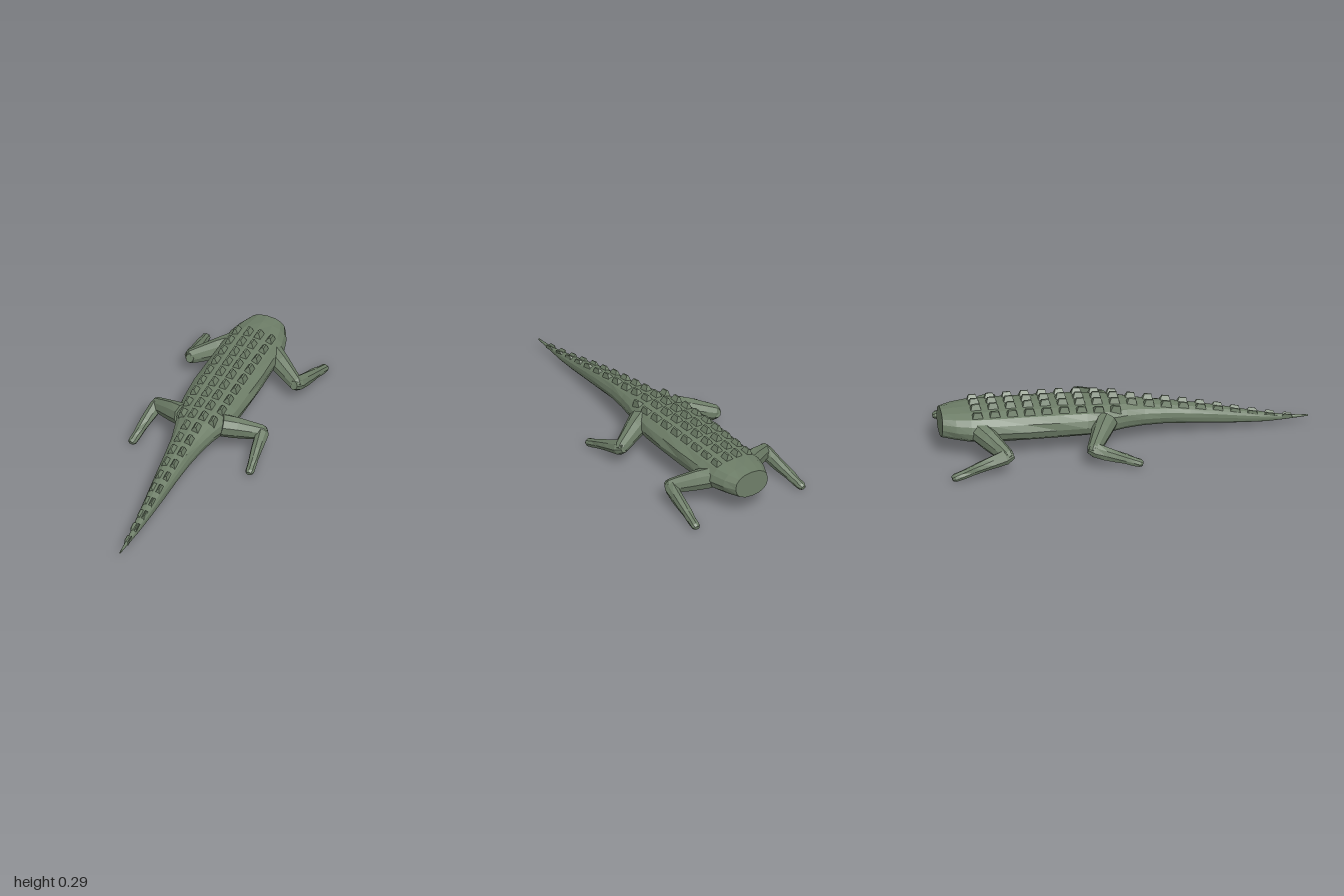
import * as THREE from 'three';

const skin = new THREE.MeshStandardMaterial({ color: 0x6d7d67, flatShading: true });
skin.name = 'scaly green skin';

// Small repeatable wobble in -1..1 for a rough hide
const wobble = (i, j) => {
  const s = Math.sin(i * 12.99 + j * 78.23) * 43758.55;
  return (s - Math.floor(s)) * 2 - 1;
};
const signedPow = (v, p) => Math.sign(v) * Math.abs(v) ** p;

// Closed skin over oval sections [x, y, z, halfWidth, halfHeight]
function loft(name, sections, sides, { rough = 0, power = 1 } = {}) {
  const centres = sections.map(s => new THREE.Vector3(s[0], s[1], s[2]));
  const up = new THREE.Vector3(0, 1, 0);
  const pos = [], index = [], last = sections.length - 1;
  sections.forEach(([, , , w, h], i) => {
    const t = centres[Math.min(i + 1, last)].clone().sub(centres[Math.max(i - 1, 0)]).normalize();
    const u = up.clone().cross(t).normalize();
    const v = t.clone().cross(u);
    for (let j = 0; j < sides; j++) {
      const a = (j / sides) * Math.PI * 2;
      const k = 1 + (i > 0 && i < last ? rough * wobble(i, j) : 0);
      const p = centres[i].clone()
        .addScaledVector(u, w * k * signedPow(Math.cos(a), power))
        .addScaledVector(v, h * k * signedPow(Math.sin(a), power));
      pos.push(p.x, p.y, p.z);
    }
  });
  for (let i = 0; i < last; i++) for (let j = 0; j < sides; j++) {
    const n = (j + 1) % sides;
    const a = i * sides + j, b = i * sides + n, c = b + sides, d = a + sides;
    index.push(a, b, c, a, c, d);
  }
  // End caps
  const start = pos.length / 3, end = start + 1;
  pos.push(...centres[0].toArray(), ...centres[last].toArray());
  for (let j = 0; j < sides; j++) {
    const n = (j + 1) % sides;
    index.push(start, n, j, end, last * sides + j, last * sides + n);
  }
  const geo = new THREE.BufferGeometry();
  geo.setAttribute('position', new THREE.Float32BufferAttribute(pos, 3));
  geo.setIndex(index);
  geo.computeVertexNormals();
  const mesh = new THREE.Mesh(geo, skin);
  mesh.name = name;
  return mesh;
}

// Body outline from neck to tail tip: z, half width, bottom y, top y
const outline = [
  [-1, 0.105, 0.112, 0.257], [-0.93, 0.138, 0.1, 0.262], [-0.85, 0.162, 0.09, 0.265],
  [-0.72, 0.17, 0.082, 0.265], [-0.55, 0.172, 0.078, 0.265], [-0.38, 0.172, 0.077, 0.261],
  [-0.22, 0.166, 0.076, 0.254], [-0.1, 0.146, 0.08, 0.246], [0, 0.115, 0.084, 0.236],
  [0.1, 0.09, 0.085, 0.22], [0.22, 0.072, 0.08, 0.202], [0.35, 0.061, 0.07, 0.179],
  [0.5, 0.047, 0.054, 0.149], [0.65, 0.033, 0.041, 0.113], [0.78, 0.021, 0.035, 0.083],
  [0.88, 0.011, 0.038, 0.063], [1, 0.003, 0.045, 0.055],
];
const POWER = 0.88;

function sectionAt(z) {
  let i = 0;
  while (i < outline.length - 2 && outline[i + 1][0] < z) i++;
  const a = outline[i], b = outline[i + 1], t = (z - a[0]) / (b[0] - a[0]);
  return a.map((v, k) => v + (b[k] - v) * t);
}
function backHeight(x, z) {
  const [, w, lo, hi] = sectionAt(z);
  const q = Math.min(Math.abs(x / w), 1);
  return (lo + hi) / 2 + (hi - lo) / 2 * (1 - q ** (2 / POWER)) ** (POWER / 2);
}

// Ridged back plate: a box pinched toward the top
const plateGeometry = new THREE.BoxGeometry(1, 1, 1);
{
  const p = plateGeometry.attributes.position;
  for (let i = 0; i < p.count; i++) {
    if (p.getY(i) > 0) p.setXYZ(i, p.getX(i) * 0.2, p.getY(i), p.getZ(i) * 0.6);
  }
}
function plate(x, z, width, height, length) {
  const y = backHeight(x, z), e = 0.01;
  const slopeX = (backHeight(x + e, z) - backHeight(x - e, z)) / (2 * e);
  const slopeZ = (backHeight(x, z + e) - backHeight(x, z - e)) / (2 * e);
  const mesh = new THREE.Mesh(plateGeometry, skin);
  mesh.name = 'backPlate';
  mesh.scale.set(width, height, length);
  mesh.position.set(x, y + height * 0.15, z);
  mesh.rotation.set(-Math.atan(slopeZ), 0, Math.atan(slopeX) * 0.6);
  return mesh;
}

// Bent leg: thick upper limb, thinner rough lower limb ending in a blunt foot
function leg(name, side, hip, knee, foot) {
  const group = new THREE.Group();
  group.name = name;
  const between = (a, b, t, w, h) => [
    side * (a[0] + (b[0] - a[0]) * t), a[1] + (b[1] - a[1]) * t, a[2] + (b[2] - a[2]) * t, w, h];
  group.add(loft('upperLimb', [
    between(hip, knee, 0, 0.064, 0.062), between(hip, knee, 0.35, 0.054, 0.06),
    between(hip, knee, 0.75, 0.043, 0.05), between(hip, knee, 1, 0.036, 0.043),
    between(hip, knee, 1.1, 0.02, 0.024),
  ], 9, { rough: 0.03 }));
  group.add(loft('lowerLimb', [
    between(knee, foot, -0.1, 0.022, 0.026), between(knee, foot, 0.04, 0.037, 0.041),
    between(knee, foot, 0.25, 0.034, 0.037), between(knee, foot, 0.45, 0.031, 0.032),
    between(knee, foot, 0.65, 0.028, 0.028), between(knee, foot, 0.82, 0.025, 0.025),
    between(knee, foot, 0.95, 0.026, 0.023), between(knee, foot, 1, 0.016, 0.013),
  ], 8, { rough: 0.1 }));
  return group;
}

export function createModel() {
  const model = new THREE.Group();
  model.name = 'reptileBody';

  // Trunk and tail in one piece, with a flat neck end
  model.add(loft('trunkAndTail',
    outline.map(([z, w, lo, hi]) => [0, (lo + hi) / 2, z, w, (hi - lo) / 2]),
    16, { rough: 0.025, power: POWER }));

  // Four columns of plates on the trunk, narrowing to two on the tail
  const plates = new THREE.Group();
  plates.name = 'backPlates';
  for (let row = 0; row < 19; row++) {
    const z = -0.81 + row * 0.0942;
    const shrink = Math.min(1, 0.22 + Math.max(0, 0.95 - z) * 0.9);
    for (const side of [-1, 1]) {
      plates.add(plate(side * 0.031 * shrink, z, 0.052 * shrink, 0.042 * Math.max(shrink, 0.5), 0.064));
      if (row < 9) plates.add(plate(side * (row === 8 ? 0.088 : 0.098), z, 0.05, 0.04, 0.064));
    }
  }
  model.add(plates);

  // Legs
  for (const [label, side] of [['left', 1], ['right', -1]]) {
    model.add(leg(label + 'ForwardLeg', side,
      [0.115, 0.17, -0.8], [0.308, 0.112, -0.678], [0.348, 0.023, -0.985]));
    model.add(leg(label + 'TailwardLeg', side,
      [0.11, 0.17, -0.115], [0.308, 0.112, -0.212], [0.344, 0.025, 0.05]));
  }
  return model;
}
